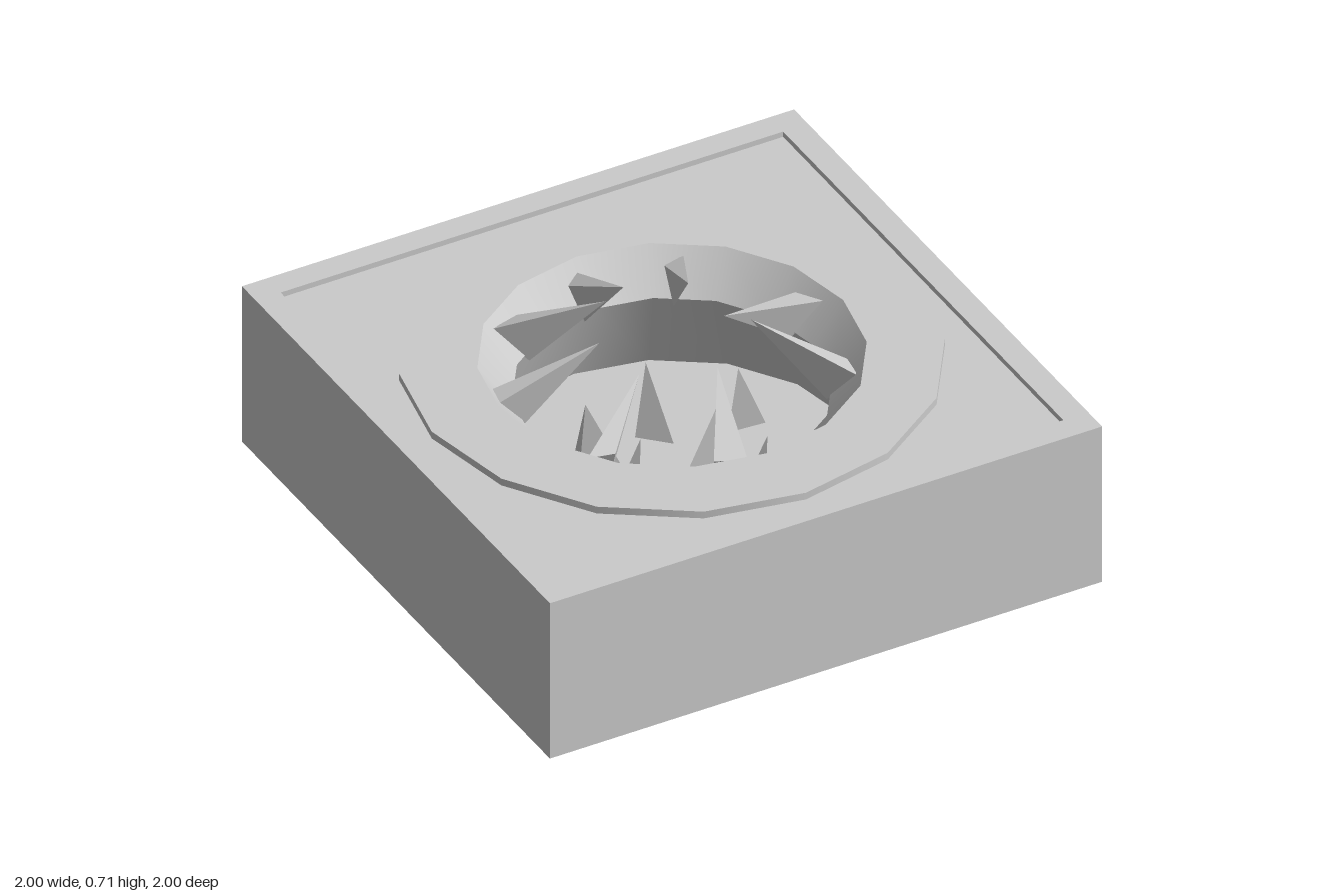
import * as THREE from 'three';
import { ConvexGeometry } from 'three/addons/geometries/ConvexGeometry.js';

const SIDES = 16;
const FLOOR_Y = 0.14;

export function createModel() {
  const model = new THREE.Group();
  const material = new THREE.MeshStandardMaterial({ color: 0xcccccc });
  const doubleMaterial = new THREE.MeshStandardMaterial({ color: 0xcccccc, side: THREE.DoubleSide });

  const add = (name, geometry, mat = material, parent = model) => {
    const mesh = new THREE.Mesh(geometry, mat);
    mesh.name = name;
    parent.add(mesh);
    return mesh;
  };

  const square = (h) => [[-h, -h], [h, -h], [h, h], [-h, h]].map(([x, y]) => new THREE.Vector2(x, y));
  const polygon = (r) => Array.from({ length: SIDES }, (_, i) => {
    const a = (i / SIDES) * Math.PI * 2;
    return new THREE.Vector2(r * Math.cos(a), r * Math.sin(a));
  });

  // Upright slab with a hole, standing on y = 0
  const slab = (outline, hole, height) => {
    const shape = new THREE.Shape(outline);
    shape.holes.push(new THREE.Path(hole));
    const geometry = new THREE.ExtrudeGeometry(shape, { depth: height, bevelEnabled: false });
    return geometry.rotateX(-Math.PI / 2);
  };

  // Square block: raised border around a slightly sunken panel
  add('borderFrame', slab(square(1), square(0.91), 0.6));
  add('sunkenPanel', slab(square(0.91), polygon(0.7), 0.58));

  // Pit: round collar, sloping lip and an undercut wall, each its own band for sharp edges
  const profile = [[0.87, 0.57], [0.87, 0.606], [0.62, 0.606], [0.51, 0.47], [0.64, FLOOR_Y]];
  const bandNames = ['collarEdge', 'collarTop', 'pitLip', 'pitWall'];
  const pit = new THREE.Group();
  pit.name = 'pit';
  model.add(pit);
  bandNames.forEach((name, i) => {
    const band = [profile[i], profile[i + 1]].map(([r, y]) => new THREE.Vector2(r, y));
    add(name, new THREE.LatheGeometry(band, SIDES), doubleMaterial, pit);
  });
  const floor = add('pitFloor', new THREE.CylinderGeometry(0.7, 0.7, FLOOR_Y, SIDES), material, pit);
  floor.position.y = FLOOR_Y / 2;

  // Three-sided spike from a base triangle to a tip
  const spike = (name, corners, tip, parent) =>
    add(name, new ConvexGeometry([...corners, tip].map((p) => new THREE.Vector3(...p))), material, parent);

  // Rim teeth leaning inward: two upper root corners (x, z), tip (x, z) and tip height
  const rimTeeth = new THREE.Group();
  rimTeeth.name = 'rimTeeth';
  model.add(rimTeeth);
  [
    [-0.595, -0.07, -0.57, -0.15, -0.24, -0.04, 0.71],
    [-0.41, -0.44, -0.30, -0.47, -0.11, -0.23, 0.71],
    [-0.08, -0.53, -0.02, -0.58, -0.025, -0.27, 0.71],
    [0.24, -0.48, 0.32, -0.50, 0.165, -0.19, 0.71],
    [0.585, -0.065, 0.53, -0.15, 0.21, -0.04, 0.66],
    [0.48, 0.35, 0.495, 0.25, 0.24, 0.08, 0.71],
    [-0.15, 0.54, -0.05, 0.58, 0.02, 0.26, 0.71],
    [-0.49, 0.33, -0.40, 0.35, -0.18, 0.11, 0.66],
  ].forEach(([ax, az, bx, bz, tx, tz, ty]) => {
    // Third root corner sits lower, against the throat
    const mid = new THREE.Vector2(ax + bx, az + bz).setLength(0.49);
    spike('rimTooth', [[ax, 0.575, az], [bx, 0.575, bz], [mid.x, 0.45, mid.y]], [tx, ty, tz], rimTeeth);
  });

  // Floor teeth standing steeply in the pit: base corners (x, z) and tip (x, z)
  const floorTeeth = new THREE.Group();
  floorTeeth.name = 'floorTeeth';
  model.add(floorTeeth);
  [
    [0.0, -0.24, 0.115, -0.31, 0.09, -0.15, 0.05, -0.26],
    [-0.24, -0.17, -0.20, -0.27, -0.11, -0.14, -0.23, -0.15],
    [-0.29, 0.09, -0.16, 0.065, -0.23, 0.20, -0.17, 0.10],
    [0.07, 0.26, 0.20, 0.23, 0.12, 0.38, 0.19, 0.28],
    [0.01, 0.05, 0.11, -0.03, 0.14, 0.10, 0.13, 0.06],
    [0.27, -0.12, 0.41, -0.19, 0.40, -0.11, 0.29, -0.09],
  ].forEach(([ax, az, bx, bz, cx, cz, tx, tz]) => {
    const corners = [[ax, az], [bx, bz], [cx, cz]].map(([x, z]) => [x, FLOOR_Y, z]);
    spike('floorTooth', corners, [tx, 0.4, tz], floorTeeth);
  });

  return model;
}
